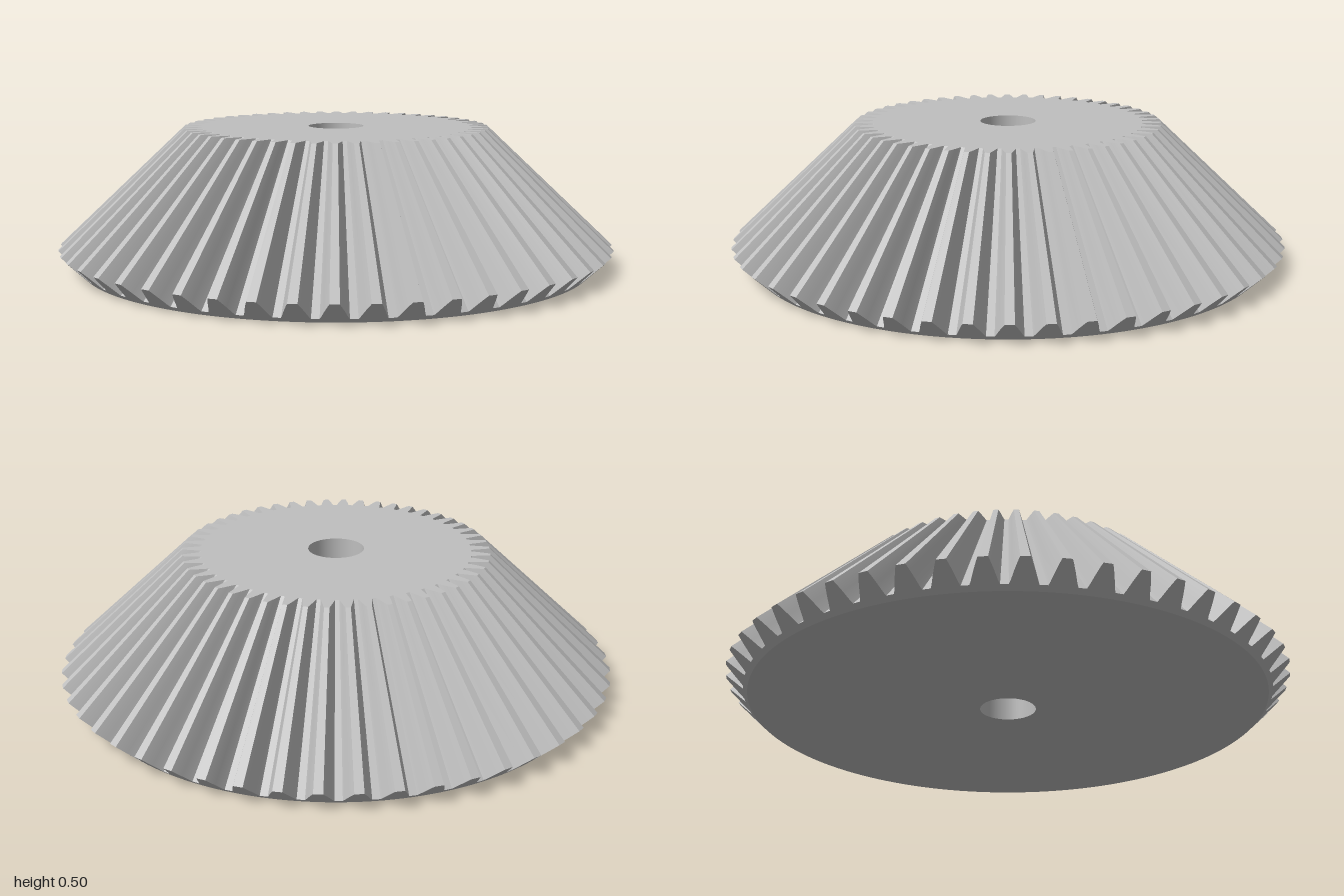
import * as THREE from 'three';
import { toCreasedNormals } from 'three/addons/utils/BufferGeometryUtils.js';

const TEETH = 50;
const APEX = 1.02;      // height where all tooth lines meet
const HEIGHT = 0.5;
const BASE_RADIUS = 0.92;
const BORE_RADIUS = 0.1;
const ROOT = { r: 0.936, y: 0.015 };
const TIP = { r: 1.0, y: 0.075 };

// Half tooth: [height from root to tip, half angle in degrees]
const FLANK = [[0, 2.8], [0.15, 2.45], [0.5, 1.85], [0.8, 1.3], [1, 0.9]];

// Large-end outline of all teeth, lying on the back cone
function toothOutline() {
  const half = [...FLANK.map(([t, a]) => [t, -a]), ...FLANK.slice().reverse()];
  const points = [];
  for (let i = 0; i < TEETH; i++) {
    for (const [t, deg] of half) {
      points.push({
        a: (i / TEETH) * Math.PI * 2 + THREE.MathUtils.degToRad(deg),
        r: THREE.MathUtils.lerp(ROOT.r, TIP.r, t),
        y: THREE.MathUtils.lerp(ROOT.y, TIP.y, t),
      });
    }
  }
  return points;
}

// Surface between two rings with matching points
function band(lower, upper) {
  const position = [];
  const add = (p) => position.push(p.r * Math.sin(p.a), p.y, p.r * Math.cos(p.a));
  lower.forEach((p, i) => {
    const j = (i + 1) % lower.length;
    [p, lower[j], upper[j], p, upper[j], upper[i]].forEach(add);
  });
  const geometry = new THREE.BufferGeometry();
  geometry.setAttribute('position', new THREE.Float32BufferAttribute(position, 3));
  return toCreasedNormals(geometry, 0.25);
}

// Flat face filling a ring, with the bore cut out
function face(ring, up) {
  const shape = new THREE.Shape(
    ring.map((p) => new THREE.Vector2(p.r * Math.sin(p.a), (up ? -1 : 1) * p.r * Math.cos(p.a)))
  );
  shape.holes.push(new THREE.Path().absarc(0, 0, BORE_RADIUS, 0, Math.PI * 2, true));
  return new THREE.ShapeGeometry(shape, 24)
    .rotateX(up ? -Math.PI / 2 : Math.PI / 2)
    .translate(0, ring[0].y, 0);
}

export function createModel() {
  const steel = new THREE.MeshStandardMaterial({ color: 0xbfbfbf, side: THREE.DoubleSide });
  steel.name = 'grey steel';
  const gear = new THREE.Group();
  gear.name = 'bevelGear';
  const add = (name, geometry) => {
    const mesh = new THREE.Mesh(geometry, steel);
    mesh.name = name;
    gear.add(mesh);
    return mesh;
  };

  // Rings: base circle, large tooth end, and teeth shrunk towards the apex
  const outer = toothOutline();
  const base = outer.map((p) => ({ a: p.a, r: BASE_RADIUS, y: 0 }));
  const top = outer.map((p) => ({
    a: p.a,
    r: (p.r * (APEX - HEIGHT)) / (APEX - p.y),
    y: HEIGHT,
  }));

  add('teeth', band(outer, top));
  add('backCone', band(base, outer));
  add('topFace', face(top, true));
  add('bottomFace', face(base, false));

  // Shaft hole
  const bore = new THREE.CylinderGeometry(BORE_RADIUS, BORE_RADIUS, HEIGHT, 48, 1, true);
  add('bore', bore).position.y = HEIGHT / 2;

  return gear;
}
